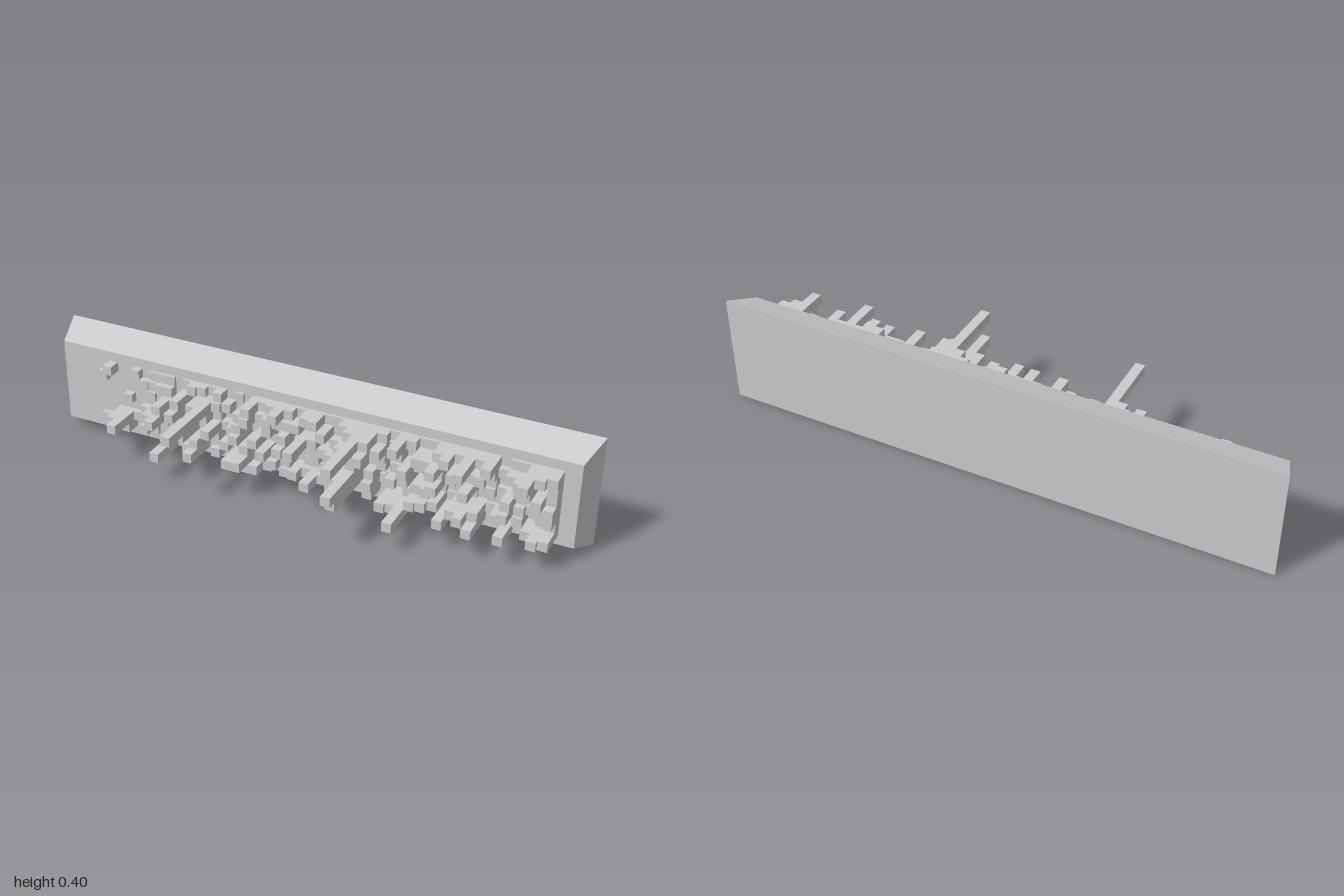
import * as THREE from 'three';

const CELL = 0.0343, COLS = 53, ROWS = 7;
const FRONT = -0.107, BACK = -0.227, MID_Y = 0.204;
const STEP = 0.0115; // depth of one bar increment

// Furthest z reached in each column, from column 3 onwards
const PEAK_Z = [
  -0.08, -0.06, -0.01, 0.04, -0.08, -0.08, -0.01, 0.01, 0.01, 0.09,
  0, 0.03, 0.04, 0.228, 0.03, -0.04, -0.03, 0.07, 0.07, 0.01,
  0.02, 0, 0.03, -0.02, 0.083, 0.03, -0.02, 0.01, 0.05, 0.12,
  0.225, 0.07, 0, 0.03, 0.03, 0.127, 0.03, 0.02, 0.04, 0.04,
  0.03, 0.07, 0.05, 0, -0.02, 0.04, -0.02, 0.05, 0.02, 0.005];
// Row (0 = top) of the furthest bar where it matters
const PEAK_ROW = {
  3: 1, 4: 0, 5: 5, 6: 5, 7: 0, 8: 1, 12: 6, 16: 1, 20: 5, 21: 5, 27: 2, 31: 5,
  32: 3, 33: 0, 34: 1, 38: 6, 44: 0, 45: 6, 48: 6, 50: 0, 51: 6,
};
// Other known bars: column -> { row: z }
const SPARSE = { 3: { 6: -0.085 }, 4: {}, 5: { 6: -0.06 }, 6: { 3: -0.08, 6: -0.05 }, 7: { 5: -0.085 }, 8: { 1: -0.09, 4: -0.08 } };
const EXTRA = { 33: { 1: 0.04, 2: 0.04, 3: 0.225, 4: 0.19 }, 44: { 5: 0.05 } };

function seeded(seed) {
  return () => {
    seed = (seed * 1664525 + 1013904223) % 4294967296;
    return seed / 4294967296;
  };
}

export function createModel() {
  const group = new THREE.Group();
  const material = new THREE.MeshStandardMaterial({ color: 0xcccccc, flatShading: true });

  // Plinth: a box whose front face is drawn in on all sides
  const plinthGeo = new THREE.BoxGeometry(2, 0.4, FRONT - BACK);
  const p = plinthGeo.attributes.position;
  for (let i = 0; i < p.count; i++) {
    if (p.getZ(i) > 0) p.setXY(i, Math.sign(p.getX(i)) * 0.965, Math.sign(p.getY(i)) * 0.155);
  }
  plinthGeo.computeVertexNormals();
  const plinth = new THREE.Mesh(plinthGeo, material);
  plinth.name = 'plinth';
  plinth.position.set(0, 0.204, (FRONT + BACK) / 2);
  group.add(plinth);

  // Bars: a grid of square posts standing out of the front face
  const bars = new THREE.Group();
  bars.name = 'bars';
  group.add(bars);
  const unit = new THREE.BoxGeometry(CELL, CELL, 1);
  const addBar = (col, row, z) => {
    const bar = new THREE.Mesh(unit, material);
    bar.name = 'bar';
    bar.scale.z = z - FRONT;
    bar.position.set((col - (COLS - 1) / 2) * CELL, MID_Y + ((ROWS - 1) / 2 - row) * CELL, (z + FRONT) / 2);
    bars.add(bar);
  };

  const random = seeded(2021);
  PEAK_Z.forEach((peak, i) => {
    const col = i + 3;
    const peakRow = PEAK_ROW[col] ?? Math.floor(random() * ROWS);
    const fixed = { ...(SPARSE[col] ?? EXTRA[col]), [peakRow]: peak };
    const steps = (Math.min(peak, 0.03) - FRONT) / STEP;
    for (let row = 0; row < ROWS; row++) {
      const present = random() < 0.85;
      const height = STEP * (1 + Math.floor(random() ** 1.6 * (steps - 1)));
      if (row in fixed) addBar(col, row, fixed[row]);
      else if (present && !SPARSE[col]) addBar(col, row, FRONT + height);
    }
  });
  return group;
}
